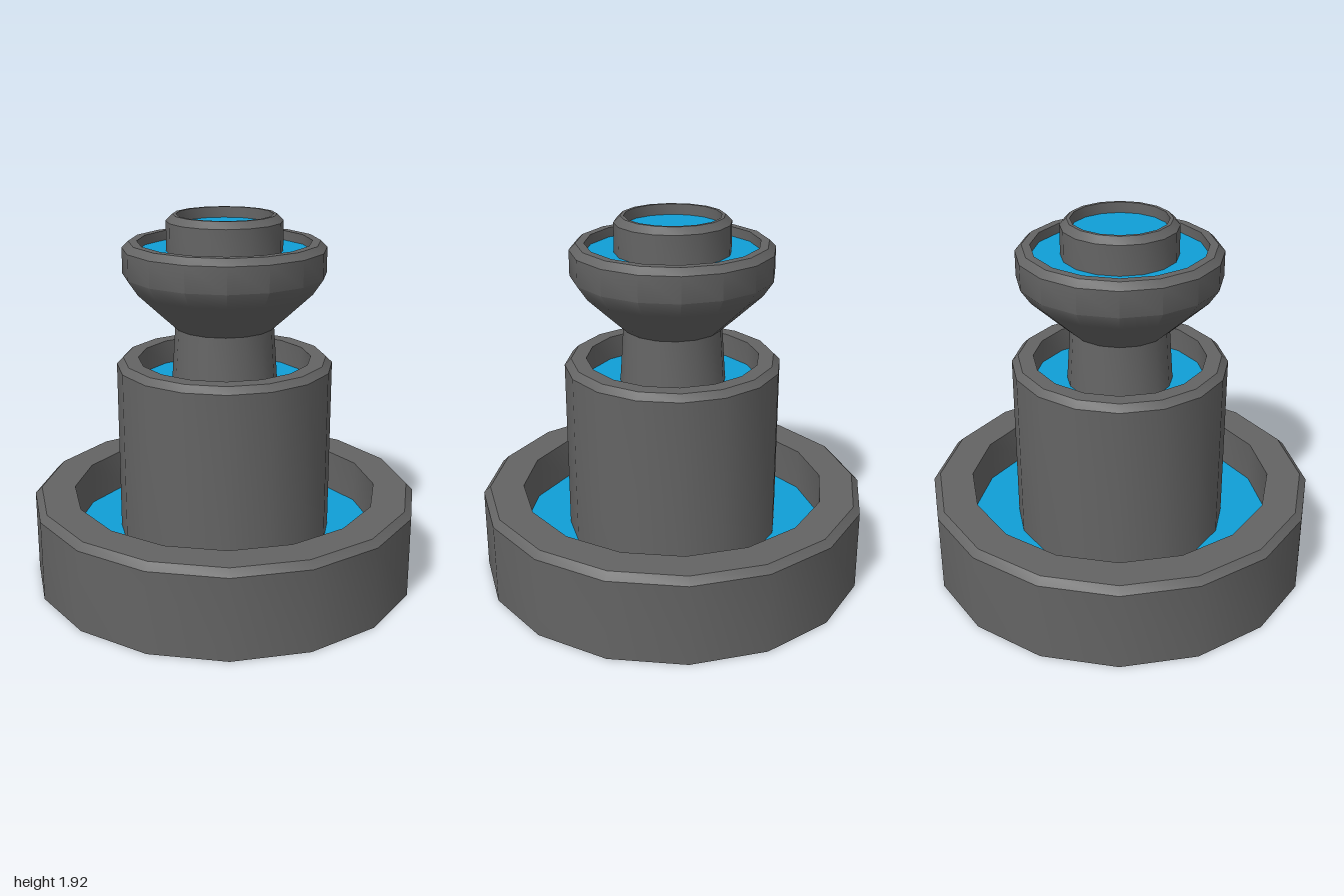
import * as THREE from 'three';
import { toCreasedNormals } from 'three/addons/utils/BufferGeometryUtils.js';

const SIDES = 16;
const TURN = THREE.MathUtils.degToRad(10); // turns the 16-gon so flats face the axes
const K = 1.017; // flat radius to corner radius

export function createModel() {
  const stone = new THREE.MeshStandardMaterial({ color: 0x646464 });
  stone.name = 'stone';
  const water = new THREE.MeshStandardMaterial({ color: 0x109fd6 });
  water.name = 'water';

  const model = new THREE.Group();
  model.name = 'fountain';

  // Revolves a [radius, height] profile, running up the outside and then inwards
  function turned(name, profile, material) {
    const points = profile.map(([r, y]) => new THREE.Vector2(r * K, y));
    const lathe = new THREE.LatheGeometry(points, SIDES, TURN);
    const mesh = new THREE.Mesh(toCreasedNormals(lathe, 0.6), material);
    mesh.name = name;
    model.add(mesh);
  }

  // Chamfered rim, inner wall and basin floor shared by every tier
  function rim(outer, top, inner, floor, bevel) {
    return [
      [outer, top - bevel], [outer - bevel, top],
      [inner, top], [inner, floor], [0, floor],
    ];
  }

  // Stone tiers
  turned('basin', [[0, 0], [1, 0], ...rim(1, 0.465, 0.79, 0.23, 0.035)], stone);
  turned('pedestal', [[0.55, 0.23], ...rim(0.55, 1.185, 0.44, 1.05, 0.033)], stone);
  turned('neck', [[0.27, 1.05], [0.25, 1.35]], stone);
  turned('upperBowl', [
    [0.25, 1.35], [0.33, 1.425], [0.46, 1.55], [0.51, 1.625],
    ...rim(0.51, 1.79, 0.435, 1.73, 0.033),
  ], stone);
  turned('topCup', [[0.29, 1.73], ...rim(0.29, 1.925, 0.24, 1.86, 0.033)], stone);

  // Water surfaces, as rings around the tier above
  turned('basinWater', [[0.79, 0.24], [0.55, 0.24]], water);
  turned('pedestalWater', [[0.44, 1.06], [0.26, 1.06]], water);
  turned('upperBowlWater', [[0.435, 1.74], [0.29, 1.74]], water);
  turned('topCupWater', [[0.24, 1.87], [0, 1.87]], water);

  return model;
}
